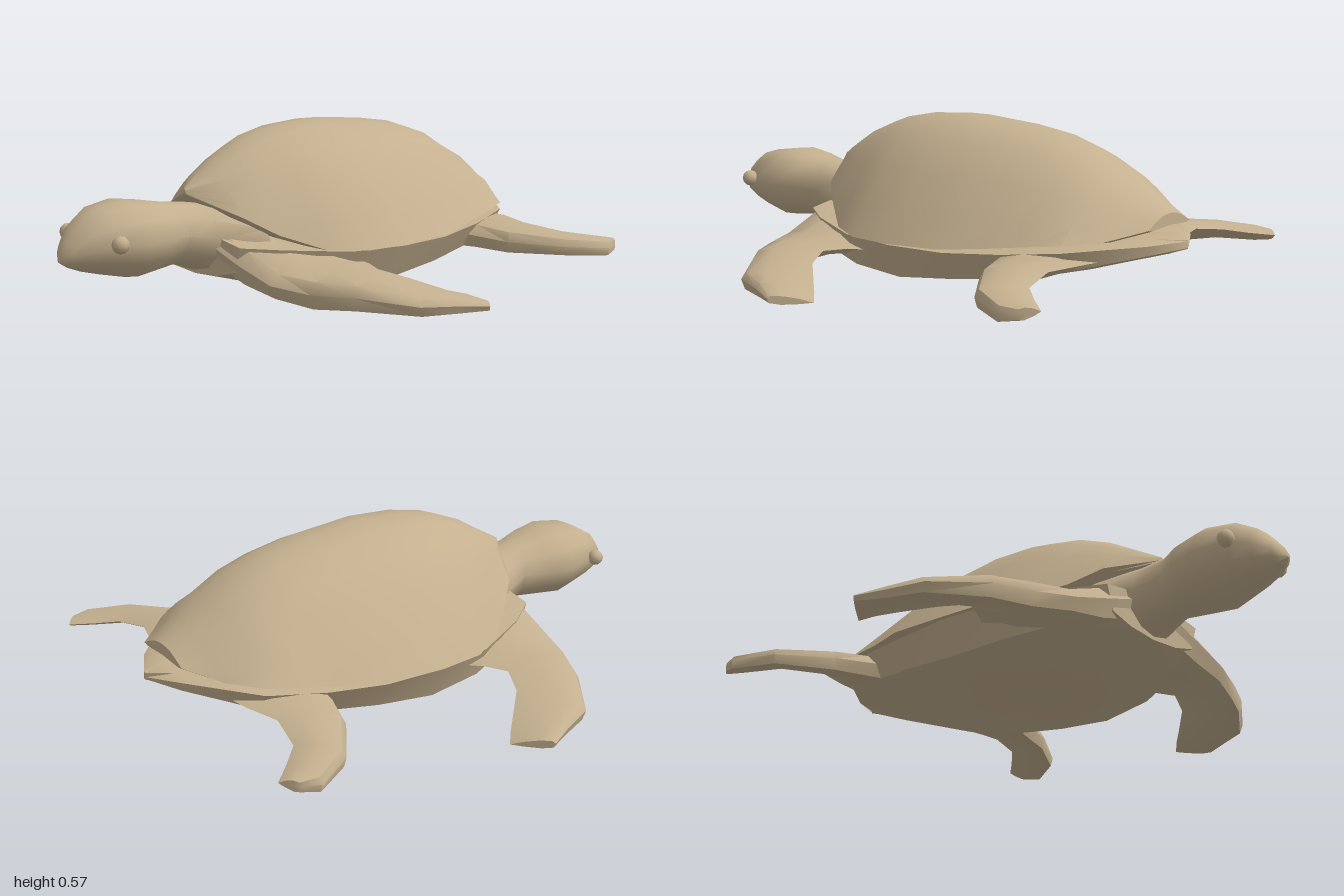
import * as THREE from 'three';
import { mergeVertices, toCreasedNormals } from 'three/addons/utils/BufferGeometryUtils.js';

const skin = new THREE.MeshStandardMaterial({ color: 0xc4b08f });

// Skin closed rings of points into a solid, with both ends closed, faces outward.
function loft(rings, crease = 0.65) {
  const n = rings[0].length, pos = [], idx = [];
  rings.forEach(r => r.forEach(p => pos.push(...p)));
  for (let i = 0; i < rings.length - 1; i++) {
    for (let j = 0; j < n; j++) {
      const k = (j + 1) % n, a = i * n + j, b = i * n + k;
      idx.push(a, b, a + n, b, b + n, a + n);
    }
  }
  const last = rings.length - 1;
  for (const [row, flip] of [[0, true], [last, false]]) {
    const c = pos.length / 3, ring = rings[row];
    pos.push(...[0, 1, 2].map(d => ring.reduce((s, p) => s + p[d], 0) / n));
    for (let j = 0; j < n; j++) {
      const a = row * n + j, b = row * n + (j + 1) % n;
      idx.push(c, ...(flip ? [b, a] : [a, b]));
    }
  }
  // Signed volume tells whether the winding must be turned round
  const v = i => new THREE.Vector3().fromArray(pos, i * 3);
  let volume = 0;
  for (let t = 0; t < idx.length; t += 3) volume += v(idx[t]).dot(v(idx[t + 1]).cross(v(idx[t + 2])));
  if (volume < 0) idx.reverse();
  let g = new THREE.BufferGeometry();
  g.setAttribute('position', new THREE.Float32BufferAttribute(pos, 3));
  g.setIndex(idx);
  g = mergeVertices(g);
  return toCreasedNormals(g, crease);
}

function add(parent, name, geometry) {
  const mesh = new THREE.Mesh(geometry, skin);
  mesh.name = name;
  parent.add(mesh);
  return mesh;
}

// Complete a right-to-left symmetric ring from its +x half (centre top to centre bottom)
const mirrorRing = half => [...half, ...half.slice(1, -1).reverse().map(([x, y, z]) => [-x, y, z])];

// Domed shell: z, half width, rim height, crown height
function shell() {
  const arch = [[0, 1], [0.2, 0.965], [0.42, 0.83], [0.63, 0.57], [0.85, 0.25], [1, 0]];
  const stations = [
    [0.485, 0.01, 0.36, 0.375], [0.39, 0.2, 0.29, 0.43], [0.3, 0.28, 0.23, 0.485],
    [0.18, 0.385, 0.18, 0.535], [0.05, 0.455, 0.17, 0.56], [-0.12, 0.475, 0.17, 0.57],
    [-0.34, 0.48, 0.18, 0.55], [-0.5, 0.43, 0.195, 0.525], [-0.62, 0.4, 0.21, 0.485],
    [-0.75, 0.36, 0.225, 0.41], [-0.84, 0.255, 0.23, 0.35], [-0.93, 0.13, 0.26, 0.3]];
  return loft(stations.map(([z, w, rim, top]) => mirrorRing([
    ...arch.map(([u, v]) => [u * w, rim + v * (top - rim), z]),
    [0.85 * w, rim - 0.005, z], [0, rim, z]])), 0.5);
}

// Belly and tail: z, half width, rim height, lowest height
function body() {
  const stations = [
    [0.44, 0.24, 0.2, 0.075], [0.32, 0.33, 0.19, 0.04], [0.1, 0.43, 0.17, 0.012],
    [-0.12, 0.465, 0.165, 0], [-0.34, 0.455, 0.165, 0.03], [-0.55, 0.42, 0.18, 0.06],
    [-0.75, 0.36, 0.2, 0.11], [-0.93, 0.14, 0.21, 0.165], [-1, 0.005, 0.2, 0.19]];
  return loft(stations.map(([z, w, rim, low]) => mirrorRing([
    [0, rim + 0.02, z], [0.6 * w, rim + 0.015, z], [w, rim, z],
    [0.88 * w, rim + (low - rim) * 0.72, z], [0.5 * w, low + 0.01, z], [0, low, z]])));
}

// Head and neck: z, half width, top height, bottom height
function head() {
  const stations = [
    [1, 0.008, 0.21, 0.195], [0.97, 0.055, 0.255, 0.175], [0.92, 0.1, 0.315, 0.155],
    [0.85, 0.14, 0.355, 0.135], [0.74, 0.168, 0.37, 0.108], [0.64, 0.152, 0.355, 0.12],
    [0.55, 0.108, 0.338, 0.125], [0.45, 0.135, 0.325, 0.09], [0.3, 0.25, 0.29, 0.06]];
  return loft(stations.map(([z, w, top, low]) => {
    const mid = (top + low) / 2, h = (top - low) / 2;
    return mirrorRing([[0, 1], [0.5, 0.95], [0.85, 0.6], [1, 0.05], [0.82, -0.5], [0.45, -0.88], [0, -1]]
      .map(([u, v]) => [u * w, mid + v * h, z]));
  }), 0.9);
}

// Limb: each station runs from leading edge [x, y, z] to trailing edge [x, y, z], with a thickness
function limb(stations) {
  const section = [[0, 0.25], [0.08, 0.9], [0.35, 1], [0.7, 0.65], [1, 0], [0.7, -0.5], [0.3, -0.9], [0.05, -0.7]];
  return loft(stations.map(([a, b, t]) => section.map(([u, v]) => [
    a[0] + (b[0] - a[0]) * u, a[1] + (b[1] - a[1]) * u + v * t / 2, a[2] + (b[2] - a[2]) * u])), 0.8);
}

const frontStations = [
  [[0.12, 0.165, 0.45], [0.2, 0.12, 0.02], 0.14],
  [[0.24, 0.125, 0.45], [0.4, 0.12, 0.02], 0.14],
  [[0.39, 0.085, 0.44], [0.47, 0.13, 0.06], 0.1],
  [[0.53, 0.07, 0.39], [0.55, 0.13, 0.1], 0.11],
  [[0.66, 0.075, 0.325], [0.65, 0.11, 0.055], 0.1],
  [[0.84, 0.06, 0.2], [0.74, 0.07, -0.035], 0.07],
  [[0.89, 0.055, 0.08], [0.79, 0.055, -0.085], 0.055],
  [[0.94, 0.05, -0.02], [0.83, 0.035, -0.12], 0.03]];

const hindStations = [
  [[0.3, 0.13, -0.48], [0.2, 0.16, -0.82], 0.11],
  [[0.42, 0.125, -0.53], [0.33, 0.165, -0.81], 0.1],
  [[0.55, 0.115, -0.57], [0.46, 0.16, -0.77], 0.09],
  [[0.73, 0.11, -0.69], [0.6, 0.14, -0.8], 0.07],
  [[0.81, 0.1, -0.83], [0.67, 0.125, -0.87], 0.06],
  [[0.79, 0.105, -0.89], [0.735, 0.115, -0.94], 0.04]];

export function createModel() {
  const turtle = new THREE.Group();
  turtle.name = 'seaTurtle';
  add(turtle, 'shell', shell());
  add(turtle, 'bodyAndTail', body());
  add(turtle, 'headAndNeck', head());

  // Paired parts, mirrored point by point to keep faces outward
  for (const [side, s] of [['left', 1], ['right', -1]]) {
    const flip = stations => stations.map(([a, b, t]) => [[a[0] * s, a[1], a[2]], [b[0] * s, b[1], b[2]], t]);
    add(turtle, side + 'FrontFlipper', limb(flip(frontStations)));
    add(turtle, side + 'HindFlipper', limb(flip(hindStations)));
    const eye = add(turtle, side + 'Eye', new THREE.SphereGeometry(0.03, 8, 6));
    eye.position.set(0.147 * s, 0.257, 0.862);
  }
  return turtle;
}
